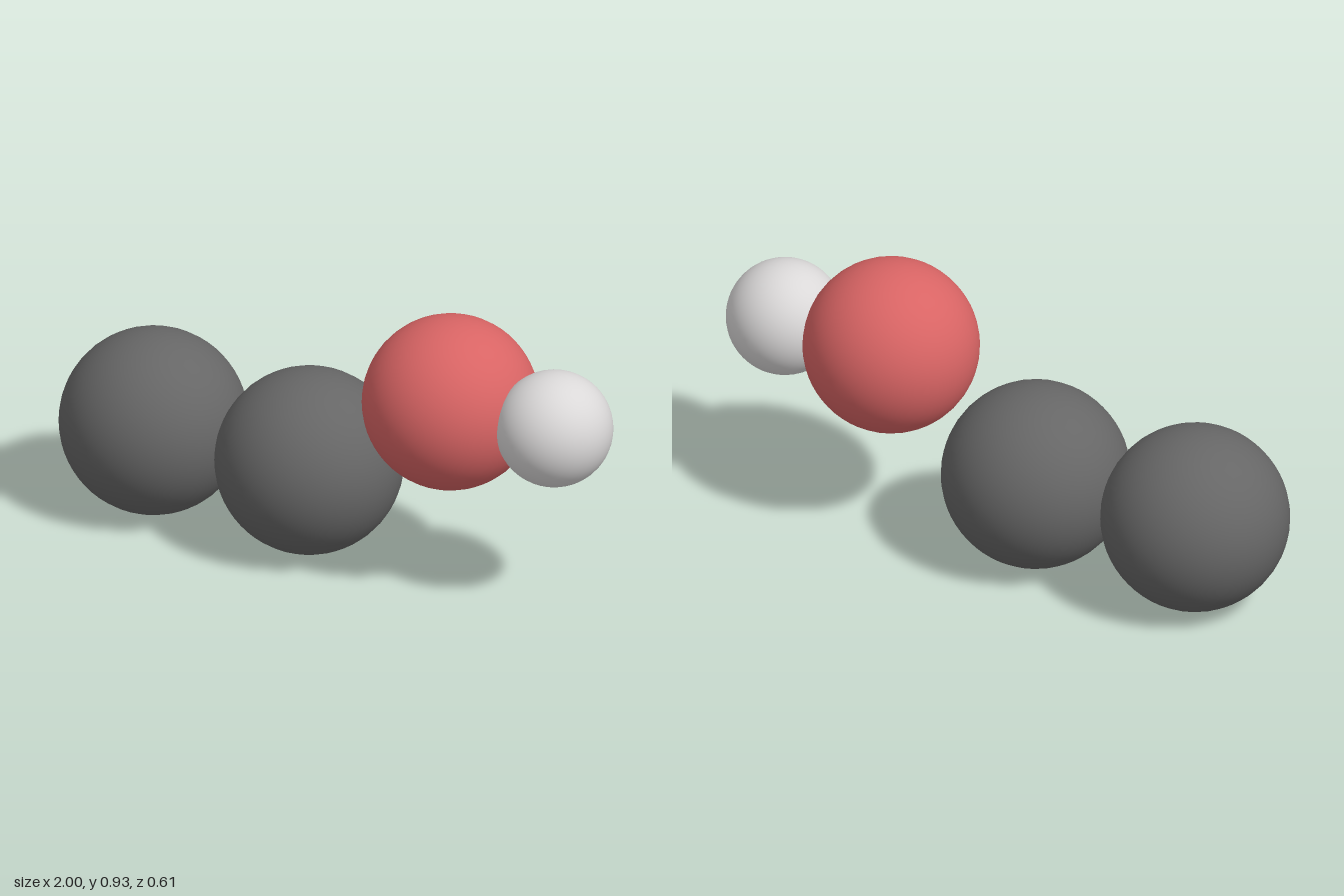
import * as THREE from 'three';

export function createModel() {
  const group = new THREE.Group();
  group.name = 'molecule';

  const material = (name, color) => {
    const m = new THREE.MeshStandardMaterial({ color });
    m.name = name;
    return m;
  };
  const grey = material('dark grey', 0x666666);
  const red = material('soft red', 0xd86464);
  const white = material('off white', 0xdad8d8);

  // Each atom is a smooth ball in the z = 0 plane, with its poles along z
  const addAtom = (name, mat, radius, x, y) => {
    const geometry = new THREE.SphereGeometry(radius, 48, 24).rotateX(Math.PI / 2);
    const mesh = new THREE.Mesh(geometry, mat);
    mesh.name = name;
    mesh.position.set(x, y, 0);
    group.add(mesh);
  };

  // Carbon pair
  addAtom('endCarbon', grey, 0.307, -0.692, 0.309);
  addAtom('middleCarbon', grey, 0.307, -0.11, 0.309);
  // Raised oxygen with the hydrogen sunk into its side
  addAtom('oxygen', red, 0.287, 0.418, 0.648);
  addAtom('hydrogen', white, 0.191, 0.806, 0.648);

  return group;
}
